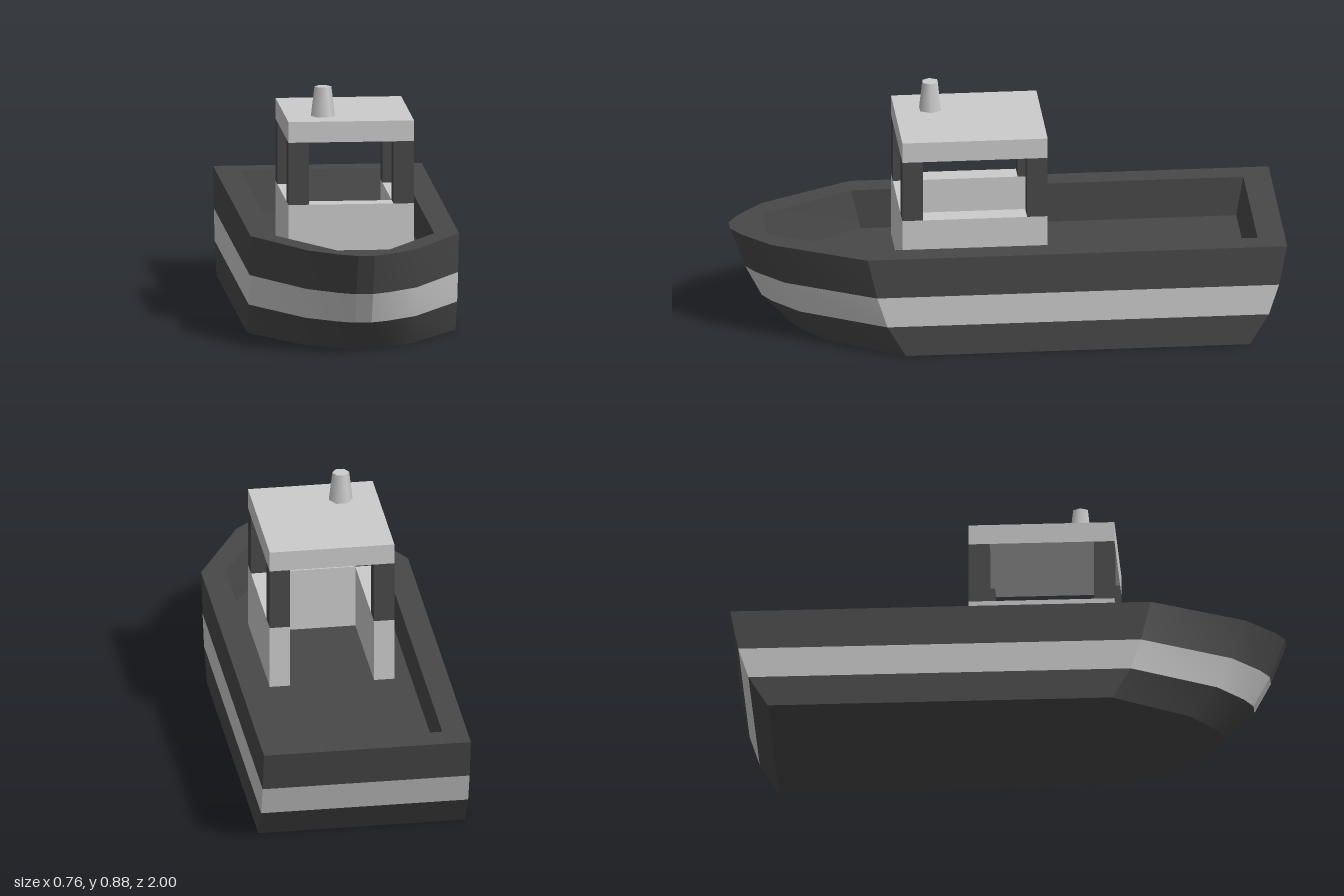
import * as THREE from 'three';
import { toCreasedNormals } from 'three/addons/utils/BufferGeometryUtils.js';

export function createModel() {
  const boat = new THREE.Group();
  boat.name = 'boat';
  const dark = new THREE.MeshStandardMaterial({ color: 0x484848 });
  dark.name = 'dark grey';
  const light = new THREE.MeshStandardMaterial({ color: 0xcccccc });
  light.name = 'light grey';

  const add = (parent, name, geometry, material) => {
    const mesh = new THREE.Mesh(geometry, material);
    mesh.name = name;
    parent.add(mesh);
    return mesh;
  };

  // Plan outlines as [x, z], from the stern along the left side, mirrored
  const mirror = (half) => [...half, ...half.map(([x, z]) => [-x, z]).reverse()];
  const outline = mirror([[0.38, -1], [0.38, 0.53], [0.2, 0.865], [0.09, 0.965], [0.03, 1]]);
  const opening = mirror([[0.29, -0.9], [0.29, 0.53], [0.095, 0.87]]);

  // Hull levels: the plan keeps its width and shortens towards the keel
  const levels = [
    { y: 0, stern: -0.863, bow: 0.775 },
    { y: 0.115, stern: -0.933, bow: 0.885 },
    { y: 0.23, stern: -0.97, bow: 0.945 },
    { y: 0.38, stern: -1, bow: 1 },
  ];
  const ring = (plan, { y, stern, bow }) =>
    plan.map(([x, z]) => [x, y, stern + ((z + 1) / 2) * (bow - stern)]);

  // Closed wall between two rings
  const wall = (low, high) => {
    const pos = [];
    low.forEach((a, i) => {
      const j = (i + 1) % low.length;
      pos.push(...a, ...high[i], ...high[j], ...a, ...high[j], ...low[j]);
    });
    const g = new THREE.BufferGeometry();
    g.setAttribute('position', new THREE.Float32BufferAttribute(pos, 3));
    return toCreasedNormals(g, THREE.MathUtils.degToRad(25));
  };

  // Flat horizontal face filling a ring, facing up (1) or down (-1)
  const flat = (points, dir, hole) => {
    const to2d = (list) => list.map(([x, , z]) => new THREE.Vector2(x, -dir * z));
    const shape = new THREE.Shape(to2d(points));
    if (hole) shape.holes.push(new THREE.Path(to2d(hole)));
    return new THREE.ShapeGeometry(shape)
      .rotateX((-dir * Math.PI) / 2)
      .translate(0, points[0][1], 0);
  };

  // Hull
  const hull = new THREE.Group();
  hull.name = 'hull';
  boat.add(hull);
  const rings = levels.map((l) => ring(outline, l));
  const inner = levels.map((l) => ring(opening, l));
  add(hull, 'lowerHull', wall(rings[0], rings[1]), dark);
  add(hull, 'hullStripe', wall(rings[1], rings[2]), light);
  add(hull, 'upperHull', wall(rings[2], rings[3]), dark);
  add(hull, 'hullBottom', flat(rings[0], -1), dark);
  add(hull, 'gunwale', flat(rings[3], 1, inner[3]), dark);
  add(hull, 'innerWall', wall([...inner[2]].reverse(), [...inner[3]].reverse()), dark);
  add(hull, 'deck', flat(inner[2], 1), dark);

  // Cabin, open at the back
  const cabin = new THREE.Group();
  cabin.name = 'cabin';
  boat.add(cabin);
  const box = (name, x0, x1, y0, y1, z0, z1, material) => {
    const mesh = add(cabin, name, new THREE.BoxGeometry(x1 - x0, y1 - y0, z1 - z0), material);
    mesh.position.set((x0 + x1) / 2, (y0 + y1) / 2, (z0 + z1) / 2);
  };
  const W = 0.229, back = -0.14, front = 0.39, T = 0.075;
  const floor = 0.23, sill = 0.468, head = 0.697, top = 0.773;
  box('frontWall', -W + T, W - T, floor, sill, front - T, front, light);
  for (const [side, x0] of [['left', W - T], ['right', -W]]) {
    box(side + 'Wall', x0, x0 + T, floor, sill, back, front, light);
    box(side + 'FrontPillar', x0, x0 + T, sill, head, front - T, front, dark);
    box(side + 'BackPillar', x0, x0 + T, sill, head, back, back + T, dark);
  }
  box('roof', -W, W, head, top, back, front, light);

  // Six-sided funnel
  const funnel = add(cabin, 'funnel',
    new THREE.CylinderGeometry(0.031, 0.044, 0.108, 6, 1, false, Math.PI / 2), light);
  funnel.position.set(-0.092, top + 0.054, 0.26);

  return boat;
}
